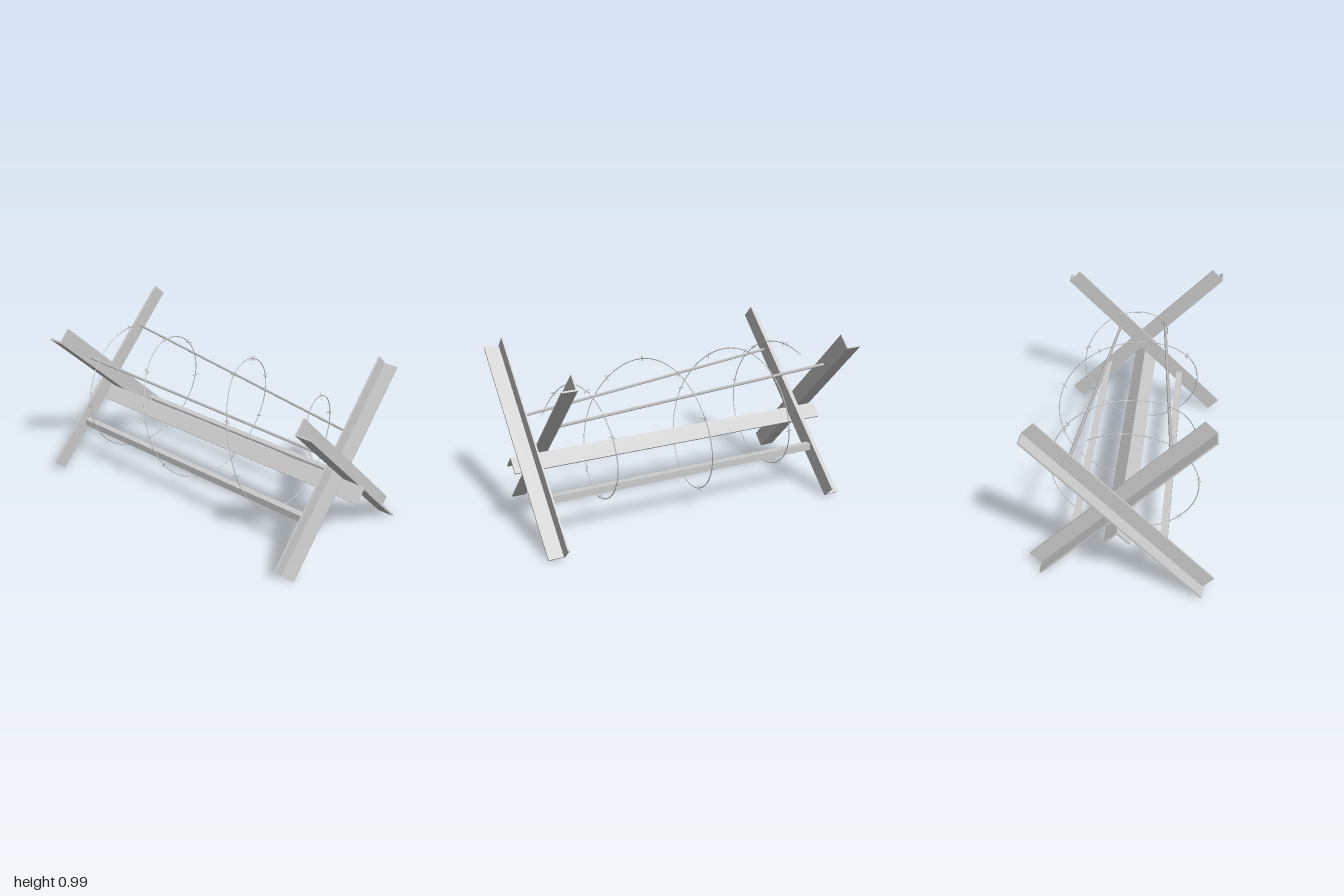
import * as THREE from 'three';

const material = new THREE.MeshStandardMaterial({ color: 0xcccccc });
const vec = (p) => new THREE.Vector3(...p);

// L-section bar whose outer corner runs from a to b; its legs point along u and v
function angleIron(name, a, b, u, v, wu, wv, t) {
  let start = vec(a), end = vec(b);
  const dir = end.clone().sub(start).normalize();
  const square = (d) => d.addScaledVector(dir, -d.dot(dir)).normalize();
  const U = square(vec(u));
  const V = square(vec(v));
  V.addScaledVector(U, -V.dot(U)).normalize();
  if (U.clone().cross(V).dot(dir) < 0) {
    [start, end] = [end, start];
    dir.negate();
  }
  const section = new THREE.Shape(
    [[0, 0], [wu, 0], [wu, t], [t, t], [t, wv], [0, wv]].map((p) => new THREE.Vector2(...p))
  );
  const geometry = new THREE.ExtrudeGeometry(section, { depth: start.distanceTo(end), bevelEnabled: false });
  geometry.applyMatrix4(new THREE.Matrix4().makeBasis(U, V, dir).setPosition(start));
  const mesh = new THREE.Mesh(geometry, material);
  mesh.name = name;
  return mesh;
}

// Straight round or square rod between two points
function rod(name, a, b, radius, sides) {
  const d = b.clone().sub(a);
  const mesh = new THREE.Mesh(new THREE.CylinderGeometry(radius, radius, d.length(), sides), material);
  mesh.position.copy(a).add(b).multiplyScalar(0.5);
  mesh.quaternion.setFromUnitVectors(new THREE.Vector3(0, 1, 0), d.normalize());
  mesh.name = name;
  return mesh;
}

// Uneven coil around x: one (x, radius) knot per quarter turn,
// in the order back, top, front, bottom
const coil = new THREE.SplineCurve([
  [-0.80, 0.41], [-0.74, 0.385], [-0.655, 0.40], [-0.605, 0.34],
  [-0.535, 0.41], [-0.44, 0.385], [-0.22, 0.37], [-0.09, 0.395],
  [0, 0.445], [0.14, 0.40], [0.40, 0.355], [0.50, 0.36],
  [0.53, 0.36], [0.64, 0.325], [0.83, 0.10],
].map((p) => new THREE.Vector2(...p)));

class WireCurve extends THREE.Curve {
  getPoint(t, target = new THREE.Vector3()) {
    const quarter = 0.7 + t * 12.88;
    const k = coil.getPoint(quarter / 14);
    const angle = (quarter - 1) * Math.PI / 2;
    return target.set(k.x, 0.48 + k.y * Math.cos(angle), k.y * Math.sin(angle));
  }
}

export function createModel() {
  const model = new THREE.Group();
  model.name = 'wireObstacle';

  // Crossed end frames; the left one leans slightly
  const upFront = [0, 1, 1], upBack = [0, 1, -1], left = [1, 0, 0], right = [-1, 0, 0];
  model.add(
    angleIron('leftOuterLeg', [0.87, 0.93, 0.487], [0.87, 0.007, -0.43], upBack, left, 0.095, 0.095, 0.01),
    angleIron('leftInnerLeg', [0.785, 0.925, -0.482], [0.785, 0.005, 0.432], upFront, left, 0.095, 0.085, 0.01),
    angleIron('rightOuterLeg', [-0.863, 0.927, -0.48], [-0.907, 0.012, 0.438], upFront, right, 0.095, 0.09, 0.01),
    angleIron('rightInnerLeg', [-0.78, 0.93, 0.485], [-0.80, 0.01, -0.432], upBack, right, 0.095, 0.088, 0.01)
  );

  // Central ridge beam and the two lower rails
  model.add(
    angleIron('centreBeam', [-1, 0.44, 0], [1, 0.44, 0], [0, -1, 1], [0, -1, -1], 0.098, 0.098, 0.01),
    angleIron('frontRail', [-0.885, 0.288, 0.25], [0.79, 0.288, 0.25], [0, -1, 0], [0, 0, -1], 0.04, 0.04, 0.007),
    angleIron('backRail', [-0.8, 0.288, -0.27], [0.872, 0.288, -0.27], [0, -1, 0], [0, 0, 1], 0.04, 0.04, 0.007)
  );

  // Thin sloping upper rods
  model.add(
    rod('frontUpperRod', vec([-0.79, 0.755, 0.258]), vec([0.872, 0.622, 0.122]), 0.009, 4),
    rod('backUpperRod', vec([-0.872, 0.775, -0.253]), vec([0.79, 0.63, -0.152]), 0.009, 4)
  );

  // Barbed wire coil
  const wire = new WireCurve();
  const strand = new THREE.Mesh(new THREE.TubeGeometry(wire, 260, 0.0028, 6), material);
  strand.name = 'wireStrand';
  model.add(strand);

  // Barbs: crossed spikes spaced along the strand
  const barbs = new THREE.Group();
  barbs.name = 'barbs';
  const count = 26;
  for (let i = 0; i < count; i++) {
    const t = (i + 0.5) / count;
    const centre = wire.getPointAt(t);
    const tangent = wire.getTangentAt(t);
    const side = vec([1, 0, 0]).cross(tangent).normalize().applyAxisAngle(tangent, i * 1.3);
    for (const s of [-1, 1]) {
      const spike = side.clone().applyAxisAngle(tangent, s * 0.8).addScaledVector(tangent, s * 0.4);
      spike.setLength(0.021);
      barbs.add(rod('barb', centre.clone().sub(spike), centre.clone().add(spike), 0.002, 4));
    }
  }
  model.add(barbs);
  return model;
}
